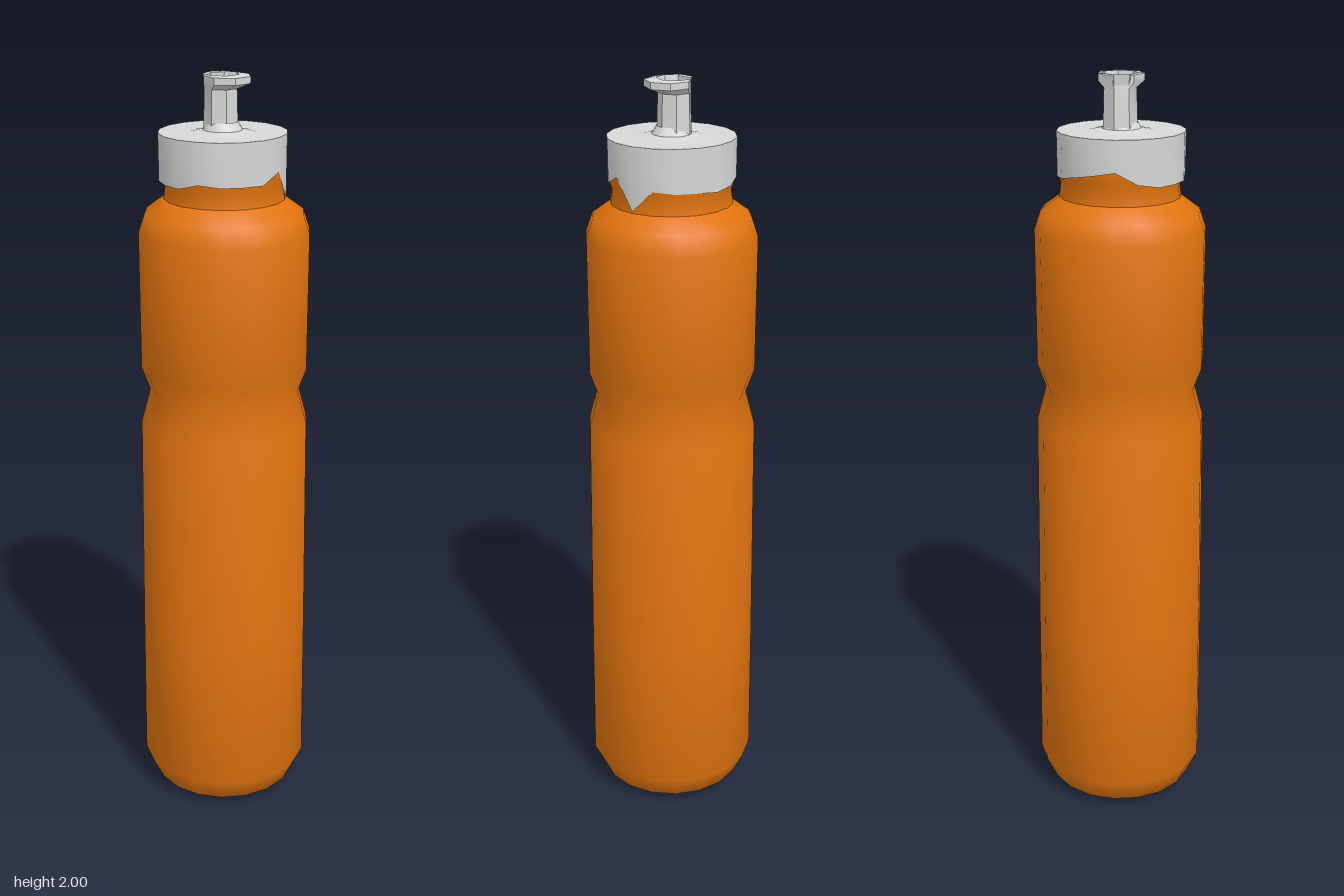
import * as THREE from 'three';
import { toCreasedNormals } from 'three/addons/utils/BufferGeometryUtils.js';

const orange = new THREE.MeshStandardMaterial({ color: 0xe2740f, side: THREE.DoubleSide });
orange.name = 'orange plastic';
const grey = new THREE.MeshStandardMaterial({ color: 0xd6d8d7, side: THREE.DoubleSide });
grey.name = 'pale grey plastic';

// Revolve [radius, height] pairs, listed from the bottom up
function revolve(profile, sides) {
  return new THREE.LatheGeometry(profile.map(([r, y]) => new THREE.Vector2(r, y)), sides);
}

function addPart(group, name, geometry, material, crease) {
  const mesh = new THREE.Mesh(crease ? toCreasedNormals(geometry, crease) : geometry, material);
  mesh.name = name;
  group.add(mesh);
  return mesh;
}

export function createModel() {
  const bottle = new THREE.Group();
  bottle.name = 'sportsBottle';

  // Body with rounded base, pinched grip, shoulder and neck
  const body = revolve([
    [0, 0.01], [0.155, 0], [0.197, 0.025], [0.228, 0.09], [0.226, 0.5], [0.221, 1.1],
    [0.197, 1.19], [0.219, 1.25], [0.22, 1.61], [0.203, 1.66], [0.155, 1.695], [0.15, 1.73],
    [0.157, 1.75], [0.157, 1.8],
  ], 18);
  addPart(bottle, 'body', body, orange, 0.75);

  // Cap wall with an uneven lower edge
  const rim = [1.75, 1.75, 1.775, 1.7, 1.755, 1.75, 1.75, 1.745, 1.75,
    1.76, 1.77, 1.78, 1.75, 1.74, 1.74, 1.74, 1.755, 1.75];
  const cap = revolve([
    [0.162, 1.74], [0.163, 1.86], [0.085, 1.857], [0.05, 1.865], [0.038, 1.885],
  ], 18);
  const p = cap.attributes.position;
  for (let i = 0; i < p.count; i++) {
    if (p.getY(i) > 1.75) continue;
    const turn = Math.atan2(p.getX(i), p.getZ(i)) / (Math.PI * 2);
    p.setY(i, rim[(Math.round(turn * 18) + 18) % 18]);
  }
  addPart(bottle, 'cap', cap, grey, 0.65).position.x = -0.004;

  // Hollow drinking spout with a lopsided lip
  const spout = revolve([
    [0.045, 1.855], [0.042, 1.965], [0.06, 1.98], [0.06, 1.997], [0.046, 2], [0.04, 1.97], [0.036, 1.91],
  ], 7);
  const s = spout.attributes.position;
  for (let i = 0; i < s.count; i++) {
    const outerLip = Math.hypot(s.getX(i), s.getZ(i)) > 0.055;
    if (outerLip) {
      s.setX(i, s.getX(i) + 0.012);
      s.setZ(i, s.getZ(i) + 0.015);
    }
  }
  addPart(bottle, 'spout', spout, grey, 0.6).position.set(-0.006, 0, -0.007);

  // Opening seen down inside the spout
  const opening = new THREE.CircleGeometry(0.039, 7);
  opening.rotateX(-Math.PI / 2);
  addPart(bottle, 'spoutOpening', opening, orange).position.set(-0.006, 1.92, -0.007);

  return bottle;
}
